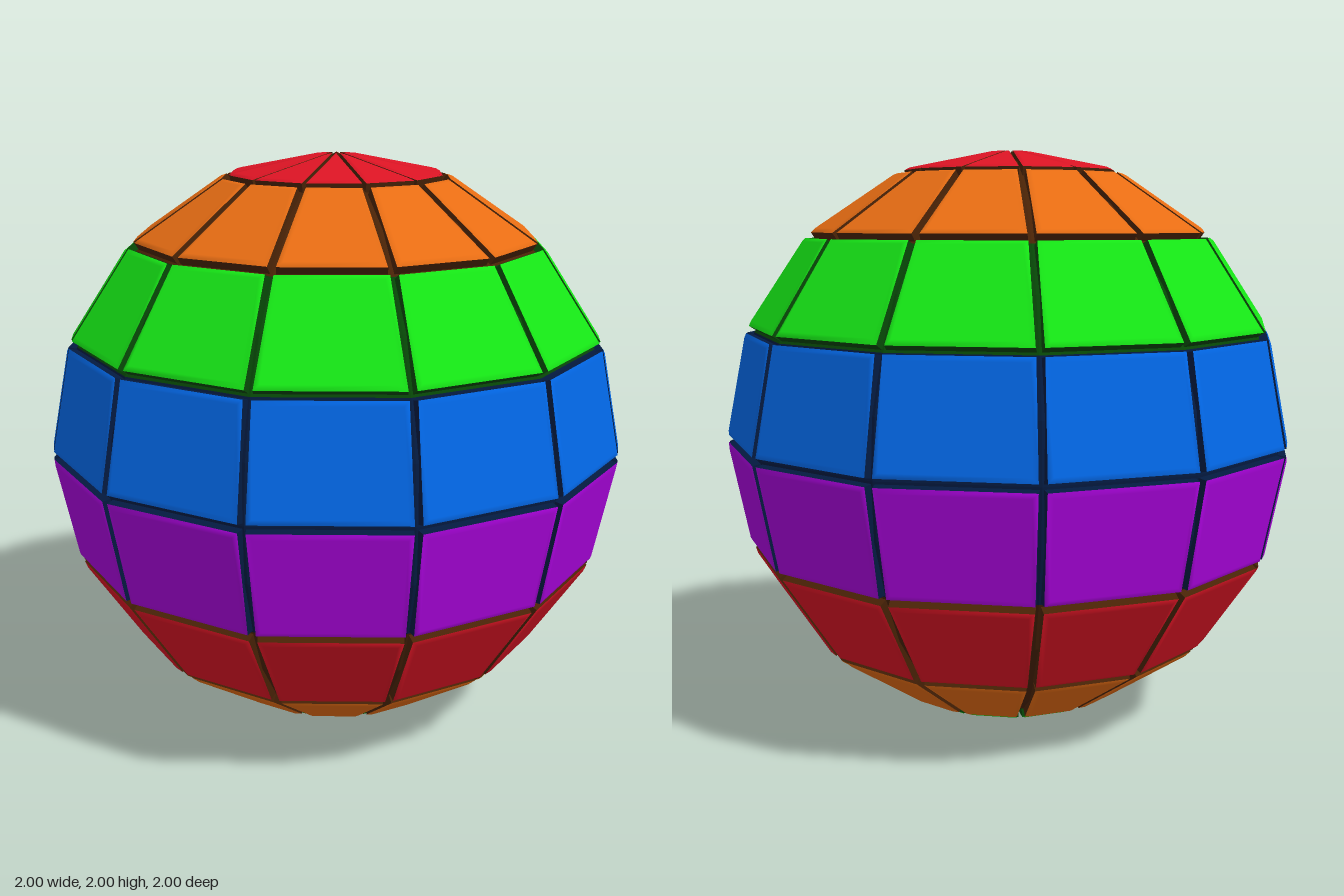
import * as THREE from 'three';

const R = 1.012;          // radius of the facets' corners
const CORE = 0.975;       // radius of the dark core at the bottom of the grooves
const SEGMENTS = 12;
const BANDS = 8;
const BEVEL = 0.006;      // height of the soft rim on each tile

const mat = (name, color) => {
  const m = new THREE.MeshStandardMaterial({ color });
  m.name = name;
  return m;
};

// Point on the sphere for a polar angle and longitude
const point = (theta, phi) => new THREE.Vector3().setFromSphericalCoords(R, theta, phi);

// Moves every edge of a flat outline inwards; insets[i] belongs to the edge from corner i to i + 1
function insetOutline(corners, insets) {
  const n = corners.length;
  return corners.map((c, i) => {
    const p = (i + n - 1) % n;
    const toNext = corners[(i + 1) % n].clone().sub(c).normalize();
    const toPrev = corners[p].clone().sub(c).normalize();
    const sin = toNext.clone().cross(toPrev).length();
    return c.clone().addScaledVector(toNext, insets[p] / sin).addScaledVector(toPrev, insets[i] / sin);
  });
}

// A flat tile on a facet: group 0 is the face with its soft rim, group 1 the groove walls
function tileGeometry(corners, gaps, rims) {
  const n = corners.length;
  const normal = new THREE.Vector3().crossVectors(
    corners[1].clone().sub(corners[0]), corners[2].clone().sub(corners[0])).normalize();
  const centre = corners.reduce((s, c) => s.add(c), new THREE.Vector3()).divideScalar(n);
  const lift = (ring, h) => ring.map((p) => p.clone().addScaledVector(normal, h));
  const edge = insetOutline(corners, gaps);
  const foot = lift(edge, -0.055);
  const rim = lift(edge, -BEVEL);
  const face = insetOutline(corners, rims);
  const rimNormals = corners.map((c) =>
    c.clone().sub(centre).normalize().multiplyScalar(0.6).add(normal).normalize());

  const pos = [];
  const nor = [];
  const put = (p, m) => {
    pos.push(p.x, p.y, p.z);
    nor.push(m.x, m.y, m.z);
  };
  // Face
  for (let i = 1; i < n - 1; i++) [0, i, i + 1].forEach((k) => put(face[k], normal));
  // Rim, its shading blending into the face
  for (let i = 0; i < n; i++) {
    const j = (i + 1) % n;
    put(rim[i], rimNormals[i]); put(rim[j], rimNormals[j]); put(face[j], normal);
    put(rim[i], rimNormals[i]); put(face[j], normal); put(face[i], normal);
  }
  const faceCount = pos.length / 3;
  // Walls
  for (let i = 0; i < n; i++) {
    const j = (i + 1) % n;
    const out = rim[j].clone().sub(rim[i]).cross(normal).normalize();
    [foot[i], foot[j], rim[j], foot[i], rim[j], rim[i]].forEach((p) => put(p, out));
  }
  const geo = new THREE.BufferGeometry();
  geo.setAttribute('position', new THREE.Float32BufferAttribute(pos, 3));
  geo.setAttribute('normal', new THREE.Float32BufferAttribute(nor, 3));
  geo.addGroup(0, faceCount, 0);
  geo.addGroup(faceCount, n * 6, 1);
  return geo;
}

export function createModel() {
  const red = mat('red', 0xdc1424);
  const orange = mat('orange', 0xee7014);
  const green = mat('green', 0x16e816);
  const blue = mat('blue', 0x0268e8);
  const purple = mat('purple', 0xa802da);
  const brown = mat('dark brown', 0x482206);
  const darkGreen = mat('dark green', 0x064606);
  const navy = mat('navy', 0x041a40);

  // Tile and groove colours from the top band to the bottom one
  const colours = [
    [red, brown], [orange, brown], [green, darkGreen], [blue, navy],
    [purple, navy], [red, brown], [orange, brown], [green, darkGreen],
  ];

  const model = new THREE.Group();
  model.name = 'tiledBall';
  const ball = new THREE.Group();
  ball.name = 'ball';
  ball.position.y = 1;
  model.add(ball);

  const dTheta = Math.PI / BANDS;
  const dPhi = (Math.PI * 2) / SEGMENTS;
  colours.forEach(([tileMat, grooveMat], b) => {
    const band = new THREE.Group();
    band.name = `band${b + 1}`;
    const t0 = b * dTheta;
    const t1 = t0 + dTheta;

    // Faceted core strip behind the tiles
    const coreGeo = new THREE.SphereGeometry(CORE, SEGMENTS, 1, 0, Math.PI * 2, t0, dTheta).toNonIndexed();
    coreGeo.computeVertexNormals();
    const core = new THREE.Mesh(coreGeo, grooveMat);
    core.name = 'grooveCore';
    band.add(core);

    // Corners run counter-clockwise seen from outside; cap tiles are triangles with finer radial gaps
    let corners = [point(t0, 0), point(t1, 0), point(t1, dPhi), point(t0, dPhi)];
    let gaps = [0.015, 0.015, 0.015, 0.015];
    let rims = [0.032, 0.032, 0.032, 0.032];
    if (b === 0) {
      corners = corners.slice(0, 3);
      gaps = [0.007, 0.015, 0.007];
      rims = [0.018, 0.03, 0.018];
    } else if (b === BANDS - 1) {
      corners = [corners[0], corners[1], corners[3]];
      gaps = [0.007, 0.007, 0.015];
      rims = [0.018, 0.018, 0.03];
    }
    const geo = tileGeometry(corners, gaps, rims);
    for (let s = 0; s < SEGMENTS; s++) {
      const tile = new THREE.Mesh(geo, [tileMat, grooveMat]);
      tile.name = 'tile';
      tile.rotation.y = s * dPhi;
      band.add(tile);
    }
    ball.add(band);
  });
  return model;
}
